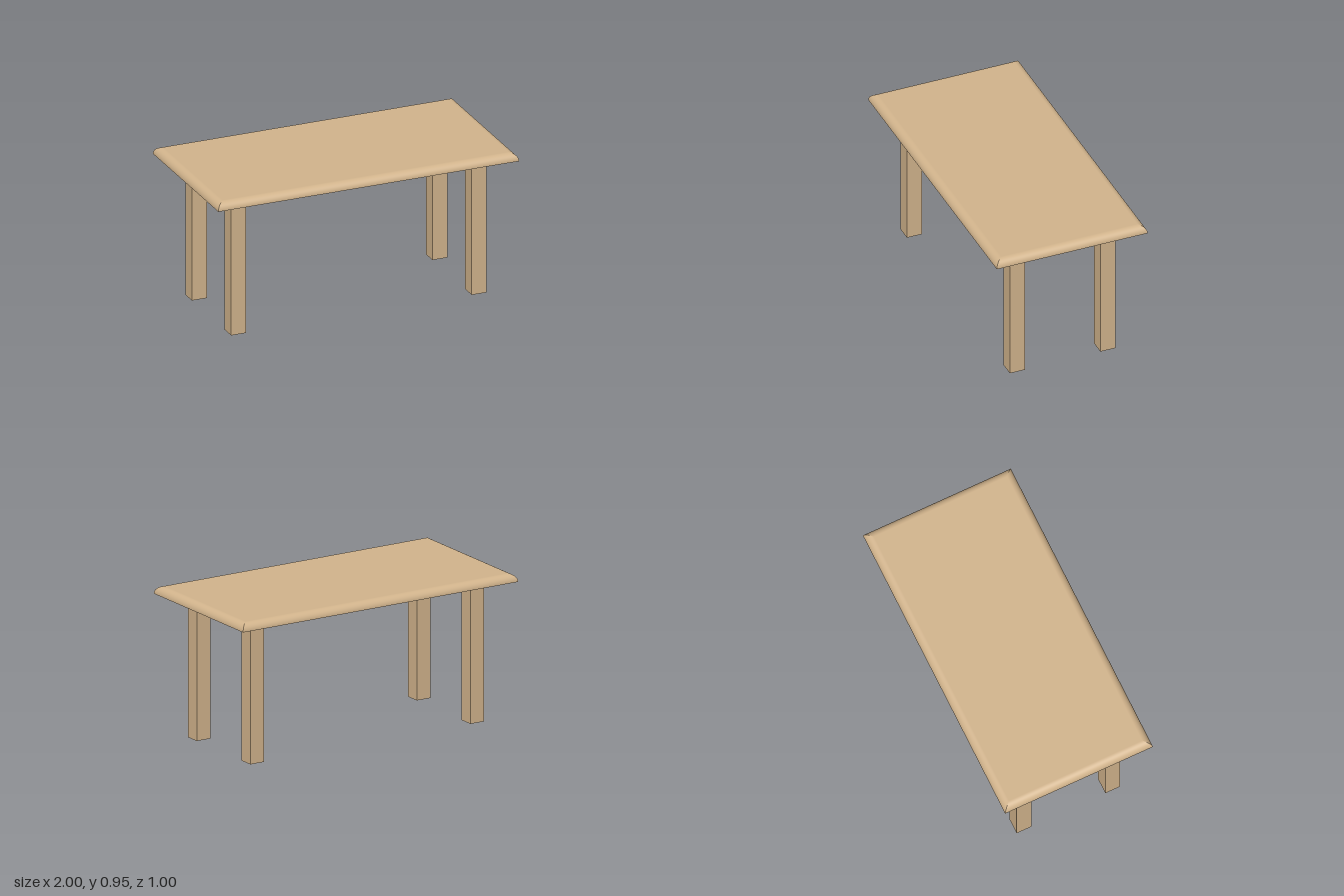
import * as THREE from 'three';
import { mergeGeometries } from 'three/addons/utils/BufferGeometryUtils.js';

const LENGTH = 2, DEPTH = 1, LEG_HEIGHT = 0.9, THICK = 0.05, LEG = 0.1;

// One rounded, mitred edge strip facing +z, with a quarter-round profile
function edgeStrip(length, depth, segments = 16) {
  const positions = [], normals = [], uvs = [], index = [];
  for (let i = 0; i <= segments; i++) {
    const a = (i / segments) * Math.PI / 2;
    const inset = THICK * (1 - Math.cos(a));
    for (const side of [-1, 1]) {
      positions.push(side * (length / 2 - inset), THICK * Math.sin(a), depth / 2 - inset);
      normals.push(0, Math.sin(a), Math.cos(a));
      uvs.push((side + 1) / 2, i / segments);
    }
    if (i < segments) {
      const b = i * 2;
      index.push(b, b + 1, b + 3, b, b + 3, b + 2);
    }
  }
  const geometry = new THREE.BufferGeometry();
  geometry.setAttribute('position', new THREE.Float32BufferAttribute(positions, 3));
  geometry.setAttribute('normal', new THREE.Float32BufferAttribute(normals, 3));
  geometry.setAttribute('uv', new THREE.Float32BufferAttribute(uvs, 2));
  geometry.setIndex(index);
  return geometry;
}

// Table top: flat faces above and below, joined by four edge strips
function tabletopGeometry() {
  const parts = [
    new THREE.PlaneGeometry(LENGTH - 2 * THICK, DEPTH - 2 * THICK)
      .rotateX(-Math.PI / 2).translate(0, THICK, 0),
    new THREE.PlaneGeometry(LENGTH, DEPTH).rotateX(Math.PI / 2),
  ];
  for (let k = 0; k < 4; k++) {
    const strip = k % 2 ? edgeStrip(DEPTH, LENGTH) : edgeStrip(LENGTH, DEPTH);
    parts.push(strip.rotateY(k * Math.PI / 2));
  }
  return mergeGeometries(parts);
}

export function createModel() {
  const table = new THREE.Group();
  table.name = 'table';
  const wood = new THREE.MeshStandardMaterial({ color: 0xd2b48c });
  wood.name = 'tan wood';

  const top = new THREE.Mesh(tabletopGeometry(), wood);
  top.name = 'tabletop';
  top.position.y = LEG_HEIGHT;
  table.add(top);

  // Four square legs
  const legGeometry = new THREE.BoxGeometry(LEG, LEG_HEIGHT, LEG);
  for (const [xName, x] of [['Left', 0.8], ['Right', -0.8]]) {
    for (const [zName, z] of [['front', 0.3], ['back', -0.3]]) {
      const leg = new THREE.Mesh(legGeometry, wood);
      leg.name = `${zName}${xName}Leg`;
      leg.position.set(x, LEG_HEIGHT / 2, z);
      table.add(leg);
    }
  }
  return table;
}
